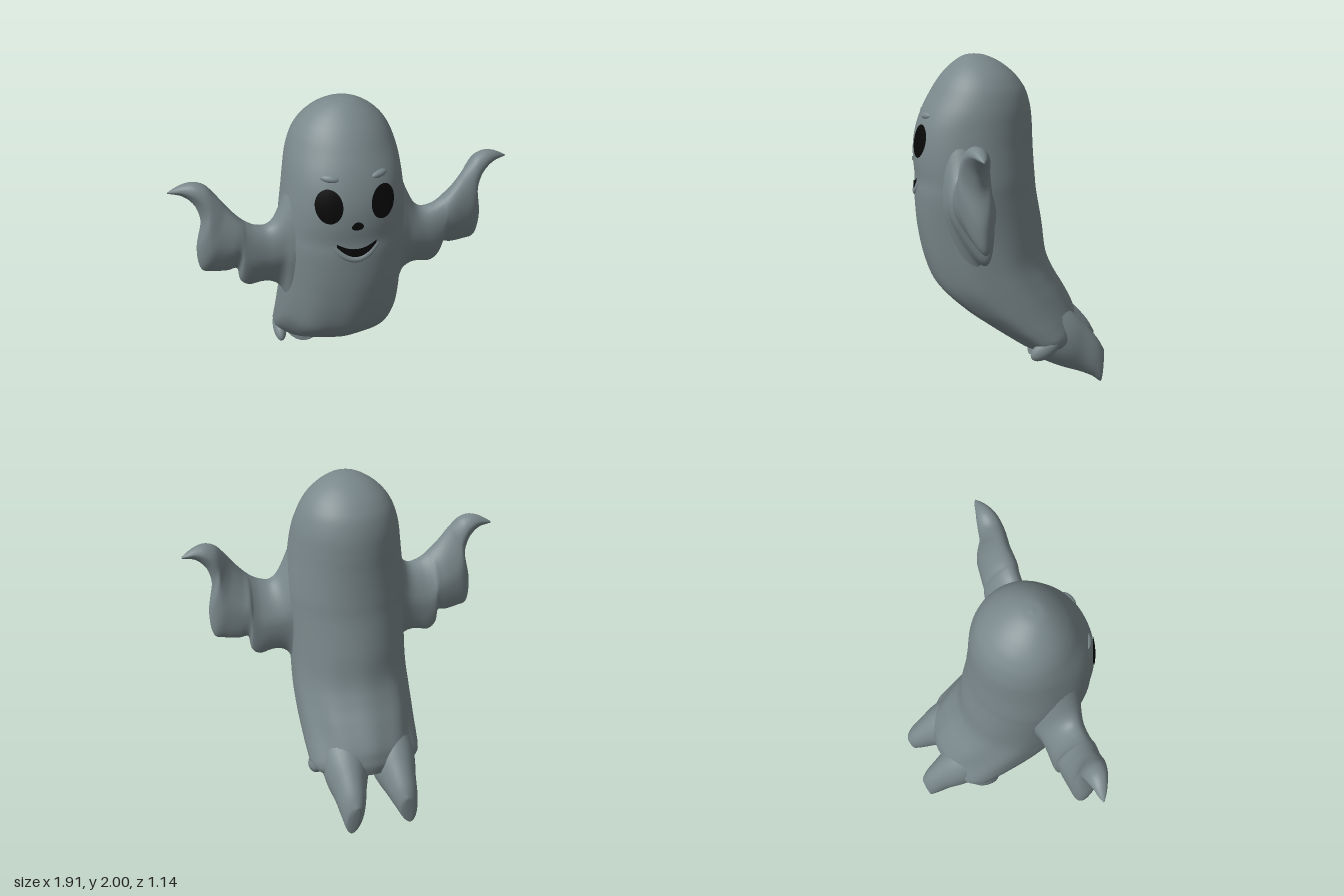
import * as THREE from 'three';

const V = (x, y, z) => new THREE.Vector3(x, y, z);
const smooth = THREE.MathUtils.smoothstep;

// Closed smooth loft. Each row: one edge point, the opposite edge point, half width along `axis`.
// shape(angle, y) scales the section: [between the edges, along the axis].
function loft(rows, axis, steps, sides, shape = () => [1, 1]) {
  const spline = f => new THREE.CatmullRomCurve3(rows.map(f), false, 'catmullrom', 0.5);
  const curveA = spline(r => V(r[0], r[1], r[2]));
  const curveB = spline(r => V(r[3], r[4], r[5]));
  const curveW = spline(r => V(r[6], 0, 0));
  const pos = [], idx = [], centres = [];
  let facing = 0;
  for (let i = 0; i <= steps; i++) {
    const t = i / steps;
    const a = curveA.getPoint(t), b = curveB.getPoint(t), w = Math.max(curveW.getPoint(t).x, 0.001);
    const mid = a.clone().add(b).multiplyScalar(0.5), half = a.clone().sub(b).multiplyScalar(0.5);
    if (i) facing += half.clone().cross(axis).dot(mid.clone().sub(centres[i - 1]));
    centres.push(mid);
    for (let j = 0; j < sides; j++) {
      const th = j / sides * Math.PI * 2, [k, m] = shape(th, mid.y);
      const p = mid.clone().addScaledVector(half, Math.cos(th) * k).addScaledVector(axis, Math.sin(th) * w * m);
      pos.push(p.x, p.y, p.z);
    }
  }
  const tri = (a, b, c) => (facing > 0 ? idx.push(a, b, c) : idx.push(a, c, b));
  for (let i = 0; i < steps; i++) for (let j = 0; j < sides; j++) {
    const a = i * sides + j, b = i * sides + (j + 1) % sides;
    tri(a, b, a + sides);
    tri(b, b + sides, a + sides);
  }
  // end caps
  const n = (steps + 1) * sides, last = steps * sides;
  pos.push(...centres[0].toArray(), ...centres[steps].toArray());
  for (let j = 0; j < sides; j++) {
    const k = (j + 1) % sides;
    tri(n, k, j);
    tri(n + 1, last + j, last + k);
  }
  const geo = new THREE.BufferGeometry();
  geo.setAttribute('position', new THREE.Float32BufferAttribute(pos, 3));
  geo.setIndex(idx);
  geo.computeVertexNormals();
  return geo;
}

export function createModel() {
  const group = new THREE.Group();
  const cloth = new THREE.MeshStandardMaterial({ name: 'grey cloth', color: 0x7a888b });
  const black = new THREE.MeshStandardMaterial({ name: 'black', color: 0x080808 });
  const add = (name, geo, mat = cloth) => {
    const mesh = new THREE.Mesh(geo, mat);
    mesh.name = name;
    group.add(mesh);
    return mesh;
  };

  // Body: front y, front z, back y, back z, half width
  const bodyRows = [
    [2.0, 0.205, 2.0, 0.2, 0.002], [1.988, 0.265, 1.988, 0.13, 0.075], [1.95, 0.325, 1.95, 0.05, 0.15],
    [1.9, 0.378, 1.9, -0.015, 0.21], [1.85, 0.418, 1.85, -0.06, 0.25], [1.79, 0.456, 1.79, -0.096, 0.281],
    [1.7, 0.504, 1.7, -0.122, 0.309], [1.6, 0.541, 1.6, -0.132, 0.325], [1.5, 0.561, 1.5, -0.136, 0.338],
    [1.4, 0.564, 1.4, -0.142, 0.35], [1.3, 0.557, 1.3, -0.15, 0.358], [1.2, 0.562, 1.2, -0.16, 0.358],
    [1.0, 0.55, 1.0, -0.195, 0.352], [0.8, 0.512, 0.82, -0.22, 0.355], [0.64, 0.445, 0.7, -0.268, 0.36],
    [0.51, 0.315, 0.59, -0.332, 0.362], [0.41, 0.18, 0.51, -0.375, 0.36], [0.32, 0.05, 0.45, -0.4, 0.356],
    [0.245, -0.07, 0.4, -0.408, 0.345], [0.22, -0.16, 0.35, -0.412, 0.3], [0.225, -0.23, 0.29, -0.4, 0.21],
  ].map(([yf, zf, yb, zb, w]) => [0, yf, zf, 0, yb, zb, w]);
  // broad flat front, narrow tail end, gentle folds that grow towards the hem
  const drapery = (th, y) => {
    const low = 1 - smooth(y, 0.45, 1.2), face = smooth(y, 0.7, 1.2) * (1 - smooth(y, 1.6, 1.8));
    const front = smooth(Math.cos(th), -0.1, 0.3), back = Math.max(0, -Math.cos(th));
    const k = 1 + front * (0.022 * low + 0.02 * face) * (1 - Math.cos(4 * th))
      + low * 0.011 * (Math.cos(10 * th) - 1);
    return [k, k * (1 - 0.2 * back * (1 - smooth(y, 0.35, 0.7)))];
  };
  const body = add('body', loft(bodyRows, V(1, 0, 0), 120, 80, drapery));
  body.updateMatrixWorld();

  // Depth of the face surface at (x, y)
  const ray = new THREE.Raycaster();
  const faceZ = (x, y) => {
    ray.set(V(x, y, 3), V(0, 0, -1));
    return ray.intersectObject(body)[0].point.z;
  };
  // Lay a flat geometry onto the face
  const drape = (geo, map) => {
    const p = geo.attributes.position;
    for (let i = 0; i < p.count; i++) {
      const [x, y] = map(p.getX(i), p.getY(i));
      p.setXYZ(i, x, y, faceZ(x, y) + 0.005);
    }
    geo.computeVertexNormals();
    return geo;
  };

  // Wing-like sleeve: upper x, y, z, lower x, y, z, half thickness
  const armRows = [
    [0.24, 1.72, 0.27, 0.24, 0.66, 0.22, 0.19], [0.31, 1.56, 0.28, 0.32, 0.76, 0.22, 0.155],
    [0.355, 1.45, 0.29, 0.36, 0.865, 0.215, 0.133], [0.4, 1.365, 0.3, 0.41, 0.908, 0.21, 0.118],
    [0.45, 1.333, 0.305, 0.47, 0.915, 0.205, 0.108], [0.51, 1.345, 0.31, 0.545, 0.902, 0.2, 0.103],
    [0.555, 1.37, 0.31, 0.593, 0.94, 0.2, 0.102], [0.58, 1.39, 0.31, 0.61, 1.025, 0.205, 0.102],
    [0.605, 1.415, 0.31, 0.67, 1.022, 0.21, 0.1], [0.635, 1.45, 0.305, 0.745, 1.033, 0.215, 0.095],
    [0.662, 1.485, 0.3, 0.812, 1.06, 0.22, 0.09], [0.69, 1.523, 0.295, 0.828, 1.2, 0.235, 0.084],
    [0.72, 1.56, 0.285, 0.796, 1.36, 0.25, 0.077], [0.76, 1.602, 0.275, 0.81, 1.455, 0.25, 0.07],
    [0.815, 1.622, 0.268, 0.843, 1.51, 0.248, 0.058], [0.87, 1.615, 0.26, 0.885, 1.543, 0.245, 0.04],
    [0.92, 1.592, 0.25, 0.927, 1.555, 0.24, 0.022], [0.956, 1.57, 0.242, 0.956, 1.56, 0.238, 0.003],
  ];
  // sleeves thin out towards their lower edge
  const sleeve = th => [1, 1 - 0.35 * Math.max(0, -Math.cos(th))];

  // Trailing cloth tail: top x, y, z, bottom x, y, z, half width
  const tailRows = [
    [0.15, 0.56, -0.22, 0.15, 0.2, -0.1, 0.145], [0.15, 0.46, -0.36, 0.15, 0.115, -0.28, 0.135],
    [0.153, 0.37, -0.45, 0.162, 0.072, -0.41, 0.1], [0.155, 0.28, -0.525, 0.175, 0.04, -0.49, 0.077],
    [0.155, 0.215, -0.563, 0.185, 0.003, -0.542, 0.052], [0.155, 0.195, -0.573, 0.185, 0.008, -0.555, 0.02],
  ];

  for (const [side, s] of [['left', 1], ['right', -1]]) {
    const mirror = rows => rows.map(([ax, ay, az, bx, by, bz, w]) => [s * ax, ay, az, s * bx, by, bz, w]);
    add(side + 'Arm', loft(mirror(armRows), V(0, 0, 1), 85, 36, sleeve));
    add(side + 'Tail', loft(mirror(tailRows), V(1, 0, 0), 40, 28));

    // ragged corner of the hem
    const flap = new THREE.SphereGeometry(1, 24, 16);
    flap.scale(0.042, 0.055, 0.1).rotateX(0.6).translate(s * 0.308, 0.285, -0.18);
    add(side + 'HemFlap', flap);

    // eye and brow ridge
    add(side + 'Eye', drape(new THREE.RingGeometry(0, 1, 36, 6),
      (x, y) => [s * 0.147 + x * 0.07, 1.527 + y * 0.095]), black);
    const brow = new THREE.SphereGeometry(1, 24, 16);
    brow.scale(0.052, 0.022, 0.024).rotateY(s * 0.4).rotateZ(s * 0.1)
      .translate(s * 0.132, 1.668, faceZ(0.132, 1.668) - 0.012);
    add(side + 'Brow', brow);
  }

  // Nose: small rounded triangle
  add('nose', drape(new THREE.RingGeometry(0, 1, 24, 3),
    (x, y) => [x * (0.032 - 0.007 * y), 1.413 + y * 0.025]), black);

  // Smiling mouth with a soft lower lip
  add('mouth', drape(new THREE.PlaneGeometry(2, 1, 28, 4), (u, v) => {
    const top = 1.27 + 0.036 * u * u, bottom = 1.222 + 0.066 * u * u;
    return [u * 0.11, bottom + (top - bottom) * (v + 0.5)];
  }), black);
  const lipPoints = [];
  for (let i = -6; i <= 6; i++) {
    const u = i / 6, x = u * 0.122, y = 1.202 + 0.08 * u * u;
    lipPoints.push(V(x, y, faceZ(x, y) - 0.01 - 0.008 * u * u));
  }
  add('lowerLip', new THREE.TubeGeometry(new THREE.CatmullRomCurve3(lipPoints), 36, 0.02, 12));

  return group;
}
